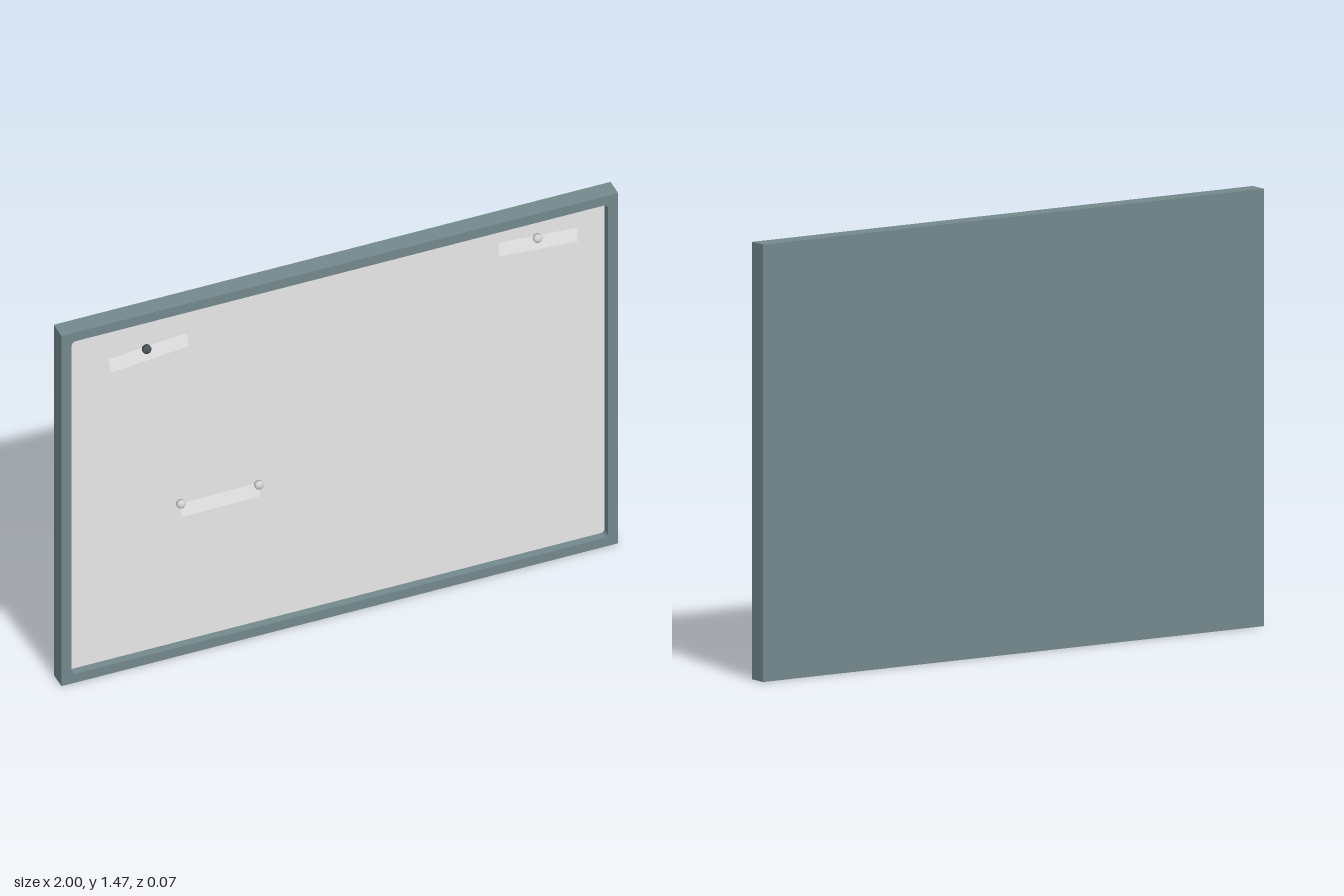
import * as THREE from 'three';

const W = 2, H = 1.47, DEPTH = 0.066, BORDER = 0.037, BOARD_Z = 0.004;

const mat = (name, color, side = THREE.FrontSide) => {
  const m = new THREE.MeshStandardMaterial({ color, side });
  m.name = name;
  return m;
};

// Rectangle with rounded corners, centred on the origin
function roundedRect(Type, w, h, r) {
  const p = new Type(), x = w / 2, y = h / 2;
  p.moveTo(-x + r, -y);
  p.lineTo(x - r, -y).absarc(x - r, -y + r, r, -Math.PI / 2, 0);
  p.lineTo(x, y - r).absarc(x - r, y - r, r, 0, Math.PI / 2);
  p.lineTo(-x + r, y).absarc(-x + r, y - r, r, Math.PI / 2, Math.PI);
  p.lineTo(-x, -y + r).absarc(-x + r, -y + r, r, Math.PI, Math.PI * 1.5);
  return p;
}

export function createModel() {
  const model = new THREE.Group();
  model.name = 'noticeBoard';
  const frameMat = mat('slateFrame', 0x74888d);
  const white = mat('white', 0xececec, THREE.DoubleSide);
  const lightPin = mat('lightPin', 0xd6d6d6);
  const darkPin = mat('darkPin', 0x4a5557);

  const add = (name, geometry, material, x, y, z, parent = model) => {
    const mesh = new THREE.Mesh(geometry, material);
    mesh.name = name;
    mesh.position.set(x, y, z);
    parent.add(mesh);
    return mesh;
  };

  // Solid back and raised border with a rounded opening
  const backDepth = DEPTH / 2;
  add('backPanel', new THREE.BoxGeometry(W, H, backDepth), frameMat, 0, H / 2, -backDepth / 2);
  const outline = new THREE.Shape();
  outline.moveTo(-W / 2, -H / 2).lineTo(W / 2, -H / 2).lineTo(W / 2, H / 2).lineTo(-W / 2, H / 2);
  outline.closePath();
  outline.holes.push(roundedRect(THREE.Path, W - BORDER * 2, H - BORDER * 2, 0.015));
  add('frame', new THREE.ExtrudeGeometry(outline, { depth: DEPTH / 2, bevelEnabled: false, curveSegments: 6 }),
    frameMat, 0, H / 2, 0);

  // Writing surface inside the frame
  add('boardSurface', new THREE.ShapeGeometry(roundedRect(THREE.Shape, W - BORDER * 2, H - BORDER * 2, 0.015), 6),
    white, 0, H / 2, BOARD_Z);

  // Sheet hanging from its top edge: a sloped strip, then a flat face
  function sheet(name, x, y, angle, height) {
    const w = 0.141, rows = [[0, 0.001], [-0.05, 0.011], [-height, 0.011]];
    const positions = [], index = [];
    for (let i = 0; i < rows.length - 1; i++) {
      const [y0, z0] = rows[i], [y1, z1] = rows[i + 1], b = i * 4;
      positions.push(-w, y0, z0, w, y0, z0, -w, y1, z1, w, y1, z1);
      index.push(b, b + 2, b + 1, b + 1, b + 2, b + 3);
    }
    const g = new THREE.BufferGeometry();
    g.setAttribute('position', new THREE.Float32BufferAttribute(positions, 3));
    g.setIndex(index);
    g.computeVertexNormals();
    add(name, g, white, x, y, BOARD_Z).rotation.z = angle;
  }
  sheet('leftSheet', -0.679, 1.311, 0.097, 0.412);
  sheet('rightSheet', 0.724, 1.356, -0.076, 0.411);
  sheet('lowerSheet', -0.421, 0.617, 0.008, 0.41);

  // Round-headed pins
  const pinProfile = [[0, 0], [0.015, 0], [0.016, 0.012], [0.013, 0.017], [0.007, 0.02], [0, 0.021]]
    .map(([r, h]) => new THREE.Vector2(r, h));
  const pinGeometry = new THREE.LatheGeometry(pinProfile, 16).rotateX(Math.PI / 2);
  for (const [x, y, material] of [
    [-0.685, 1.305, darkPin], [0.719, 1.35, lightPin],
    [-0.562, 0.619, lightPin], [-0.282, 0.615, lightPin],
  ]) add('pin', pinGeometry, material, x, y, BOARD_Z);

  return model;
}
